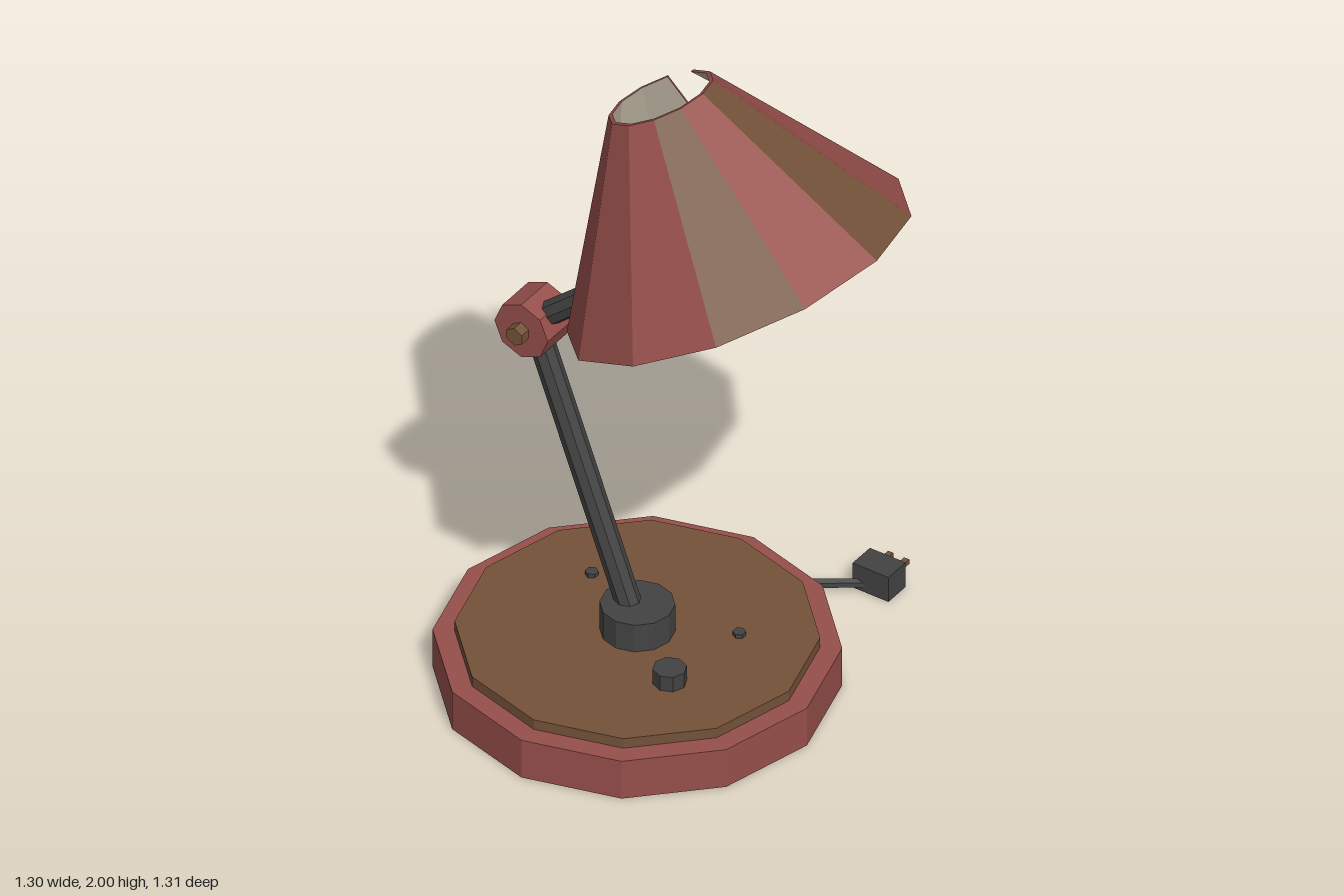
import * as THREE from 'three';

const mat = (name, color) => {
  const m = new THREE.MeshStandardMaterial({ color, flatShading: true });
  m.name = name;
  return m;
};

export function createModel() {
  const red = mat('faded red paint', 0x964f4b);
  const brown = mat('rust brown', 0x745239);
  const dark = mat('dark metal', 0x434343);
  const cream = mat('shade lining', 0xb8ae9c);
  const glass = mat('bulb glass', 0xd8d8d6);

  const lamp = new THREE.Group();
  lamp.name = 'deskLamp';
  const V = (x, y, z) => new THREE.Vector3(x, y, z);
  const CX = -0.115, CZ = 0.113; // base centre; the arms lie in the plane z = CZ

  const add = (name, geometry, material, x = 0, y = 0, z = 0) => {
    const mesh = new THREE.Mesh(geometry, material);
    mesh.name = name;
    mesh.position.set(x, y, z);
    lamp.add(mesh);
    return mesh;
  };
  // upright cylinder between two heights
  const disc = (name, r, y0, y1, sides, material, x, z) =>
    add(name, new THREE.CylinderGeometry(r, r, y1 - y0, sides), material, x, (y0 + y1) / 2, z);
  // straight rod between two points
  const rod = (name, a, b, r, sides, material) => {
    const dir = b.clone().sub(a);
    const mid = a.clone().add(b).multiplyScalar(0.5);
    const mesh = add(name, new THREE.CylinderGeometry(r, r, dir.length(), sides), material, mid.x, mid.y, mid.z);
    mesh.quaternion.setFromUnitVectors(V(0, 1, 0), dir.normalize());
    return mesh;
  };

  // Base with top plate, hub, switch and screws
  disc('base', 0.54, 0, 0.122, 12, red, CX, CZ);
  disc('basePlate', 0.482, 0.122, 0.153, 12, brown, CX, CZ);
  disc('hub', 0.1, 0.153, 0.24, 12, dark, CX, CZ);
  disc('switchKnob', 0.046, 0.153, 0.2, 8, dark, 0.085, 0.255);
  for (const s of [-1, 1]) disc('screw', 0.018, 0.15, 0.165, 6, dark, CX + s * 0.235, -0.018);

  // Arms and the two joints
  const elbow = V(-0.443, 1.032, CZ), head = V(0.2, 1.585, CZ);
  rod('lowerArm', V(CX, 0.153, CZ), elbow, 0.035, 8, dark);
  rod('upperArm', elbow, head, 0.035, 8, dark);
  for (const [name, p] of [['elbow', elbow], ['head', head]]) {
    rod(name + 'Joint', V(p.x, p.y, 0.053), V(p.x, p.y, 0.175), 0.085, 8, red);
    rod(name + 'Bolt', V(p.x, p.y, 0.17), V(p.x, p.y, 0.207), 0.028, 6, brown);
  }

  // Socket and bulb
  disc('socket', 0.055, 1.63, 1.7, 8, brown, 0.2, CZ);
  const bulbProfile = [[0, 0], [0.06, 0], [0.085, 0.03], [0.085, 0.14], [0.05, 0.18], [0, 0.19]];
  add('bulb', new THREE.LatheGeometry(bulbProfile.map(([r, y]) => new THREE.Vector2(r, y)), 8),
    glass, 0.2, 1.685, CZ);

  // Shade: tilted twelve-sided cone with one panel missing and a bent corner
  const u = V(0.888, 0.46, 0), w = V(0, 0, 1);
  const rings = {
    top: { c: V(-0.04, 1.93, CZ), r: 0.15 },
    bottom: { c: V(0.209, 1.4575, CZ), r: 0.494 },
  };
  const FIRST = -3, LAST = 8;
  const corner = (ring, k, inset) => {
    const { c, r } = rings[ring];
    const a = k * Math.PI / 6;
    const p = c.clone().addScaledVector(u, (r - inset) * Math.cos(a)).addScaledVector(w, (r - inset) * Math.sin(a));
    if (ring === 'bottom' && k === -3) p.add(V(-0.052, 0.105, -0.005));
    if (ring === 'bottom' && k === -2) p.add(V(-0.008, 0.02, -0.005));
    return p;
  };
  const ot = k => corner('top', k, 0), ob = k => corner('bottom', k, 0);
  const it = k => corner('top', k, 0.011), ib = k => corner('bottom', k, 0.011);
  const quads = (name, list, material) => {
    const pts = list.flatMap(([a, b, c, d]) => [a, b, c, a, c, d]);
    const g = new THREE.BufferGeometry().setFromPoints(pts);
    g.computeVertexNormals();
    add(name, g, material);
  };
  const redFaces = [], brownFaces = [], lining = [], edge = [];
  for (let k = FIRST; k < LAST; k++) {
    const n = k + 1;
    (k === -1 || k === 1 ? brownFaces : redFaces).push([ob(n), ob(k), ot(k), ot(n)]);
    lining.push([ib(k), ib(n), it(n), it(k)]);
    edge.push([ob(k), ob(n), ib(n), ib(k)], [ot(n), ot(k), it(k), it(n)]);
  }
  edge.push([ob(FIRST), ib(FIRST), it(FIRST), ot(FIRST)], [ib(LAST), ob(LAST), ot(LAST), it(LAST)]);
  quads('shadePanels', redFaces, red);
  quads('shadeRustPanels', brownFaces, brown);
  quads('shadeLining', lining, cream);
  quads('shadeEdge', edge, red);

  // Power cord, plug and prongs
  const cord = [[-0.42, -0.335], [-0.24, -0.468], [0.01, -0.43], [0.17, -0.54]].map(([x, z]) => V(x, 0.022, z));
  for (let i = 0; i < 3; i++) rod('cord', cord[i], cord[i + 1], 0.014, 6, dark);
  add('plug', new THREE.BoxGeometry(0.114, 0.08, 0.08), dark, 0.191, 0.042, -0.565);
  for (const x of [0.165, 0.216])
    add('prong', new THREE.BoxGeometry(0.017, 0.014, 0.06), brown, x, 0.043, -0.627);

  return lamp;
}
